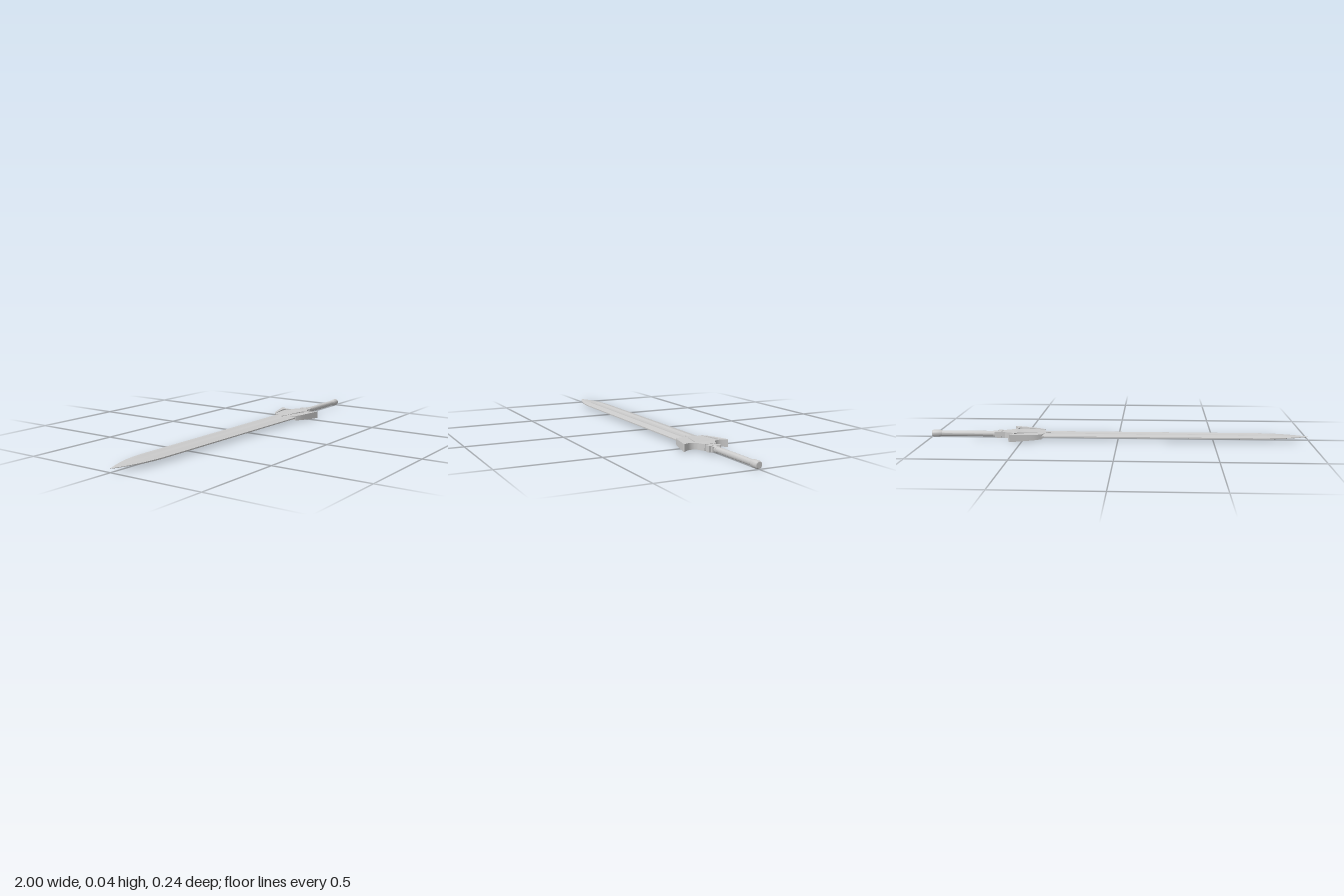
import * as THREE from 'three';
import { toCreasedNormals } from 'three/addons/utils/BufferGeometryUtils.js';

const CY = 0.02; // height of the sword's long axis
const material = new THREE.MeshStandardMaterial({ color: 0xcccccc });

function part(name, geometry, crease = 0.5) {
  const mesh = new THREE.Mesh(toCreasedNormals(geometry, crease), material);
  mesh.name = name;
  mesh.position.y = CY;
  return mesh;
}

// smooth run of points through a few control points
const smooth = (pts, n = 10) =>
  new THREE.SplineCurve(pts.map(p => new THREE.Vector2(...p))).getPoints(n);

// half outline (x, z) mirrored across z = 0, with thickness given by a rule
function mirroredPlate(half, thickness) {
  const other = half.map(p => new THREE.Vector2(p.x, -p.y)).reverse();
  const shape = new THREE.Shape([...half, ...other.filter(p => Math.abs(p.y) > 1e-6)]);
  const g = new THREE.ExtrudeGeometry(shape, { depth: 2, bevelEnabled: false });
  g.translate(0, 0, -1).rotateX(Math.PI / 2);
  const p = g.attributes.position;
  for (let i = 0; i < p.count; i++)
    p.setY(i, Math.sign(p.getY(i)) * thickness(p.getX(i), Math.abs(p.getZ(i))));
  return g;
}

// turned part along x from [x, radius] pairs
function turned(profile, sides = 24) {
  return new THREE.LatheGeometry(profile.map(([x, r]) => new THREE.Vector2(r, x)), sides)
    .rotateZ(-Math.PI / 2);
}

// blade lofted from fullered cross-sections
function bladeGeometry() {
  // x, half width, thickness scale, fuller strength
  const stations = [
    [-1, 0.0008, 0.1, 0], [-0.975, 0.011, 0.28, 0], [-0.95, 0.021, 0.42, 0], [-0.9, 0.038, 0.66, 0],
    [-0.85, 0.05, 0.85, 0], [-0.82, 0.055, 0.92, 0.1], [-0.78, 0.06, 1, 0.8], [-0.72, 0.063, 1, 1],
    [-0.2, 0.0645, 1, 1], [0.34, 0.067, 1, 1], [0.37, 0.067, 1, 0.6], [0.4, 0.067, 1, 0], [0.54, 0.067, 1, 0],
  ];
  const pos = [], idx = [];
  const top = [[1, 0.003], [0.54, 0.0095], [0.44, 0.0105], [0.2, 0.0105], [0.1, 0.0105], [0, 0.0105],
    [-0.1, 0.0105], [-0.2, 0.0105], [-0.44, 0.0105], [-0.54, 0.0095], [-1, 0.003]];
  const ring = [...top, ...top.map(([z, y]) => [-z, -y])];
  const n = ring.length;
  for (const [x, w, t, f] of stations)
    for (const [z, y] of ring) {
      const dip = Math.abs(z) < 0.4 ? f * 0.0045 * (1 - (z / 0.4) ** 2) : 0;
      pos.push(x, Math.sign(y) * (Math.abs(y) * t - dip), z * w);
    }
  for (let s = 0; s < stations.length - 1; s++)
    for (let i = 0; i < n; i++) {
      const a = s * n + i, b = s * n + (i + 1) % n;
      idx.push(a, a + n, b, b, a + n, b + n);
    }
  for (let i = 1; i < n - 1; i++) {
    const e = (stations.length - 1) * n;
    idx.push(0, i, i + 1, e, e + i + 1, e + i);
  }
  const g = new THREE.BufferGeometry();
  g.setAttribute('position', new THREE.Float32BufferAttribute(pos, 3));
  g.setIndex(idx);
  g.computeVertexNormals();
  return g;
}

export function createModel() {
  const sword = new THREE.Group();
  sword.name = 'sword';
  sword.add(part('blade', bladeGeometry(), 0.2));

  // winged guard: centre spike, U-shaped recess, flared wing, hollow back
  const half = [
    ...smooth([[0.36, 0], [0.4, 0.011], [0.48, 0.029], [0.53, 0.043], [0.547, 0.065], [0.535, 0.085],
      [0.51, 0.086], [0.45, 0.078], [0.4, 0.067]], 26),
    ...smooth([[0.4, 0.07], [0.43, 0.086], [0.48, 0.1], [0.53, 0.112], [0.562, 0.12]], 10),
    ...smooth([[0.568, 0.118], [0.552, 0.09], [0.55, 0.068], [0.562, 0.048], [0.59, 0.037], [0.602, 0.03]], 14),
    new THREE.Vector2(0.602, 0),
  ];
  sword.add(part('guard', mirroredPlate(half, (x, z) =>
    0.0115 + 0.004 * THREE.MathUtils.smoothstep(x, 0.37, 0.54) + 0.003 * (z / 0.12) ** 2)));

  // sunken panels behind the recesses
  const panel = [[0.38, 0], [0.402, 0.066], [0.45, 0.082], [0.53, 0.095], [0.548, 0.07], [0.56, 0.04], [0.56, 0]]
    .map(p => new THREE.Vector2(...p));
  sword.add(part('guardPanel', mirroredPlate(panel, () => 0.0108)));

  // stepped collar between guard and grip
  const collars = [[0.61, 0.03, 0.026, 0.014], [0.632, 0.024, 0.033, 0.0155], [0.65, 0.018, 0.022, 0.013]];
  for (const [x, length, z, y] of collars) {
    const block = part('collar', new THREE.BoxGeometry(length, y * 2, z * 2));
    block.position.x = x;
    sword.add(block);
  }

  // grip with end rings, and flared pommel
  sword.add(part('grip', turned([[0.64, 0], [0.64, 0.017], [0.668, 0.017], [0.67, 0.0145],
    [0.8, 0.0155], [0.945, 0.0145], [0.96, 0.0145], [0.96, 0]])));
  sword.add(part('pommel', turned([[0.945, 0], [0.945, 0.0145], [0.957, 0.0175], [0.97, 0.0185],
    [0.99, 0.0185], [0.997, 0.017], [1, 0.014], [1, 0]])));
  return sword;
}
